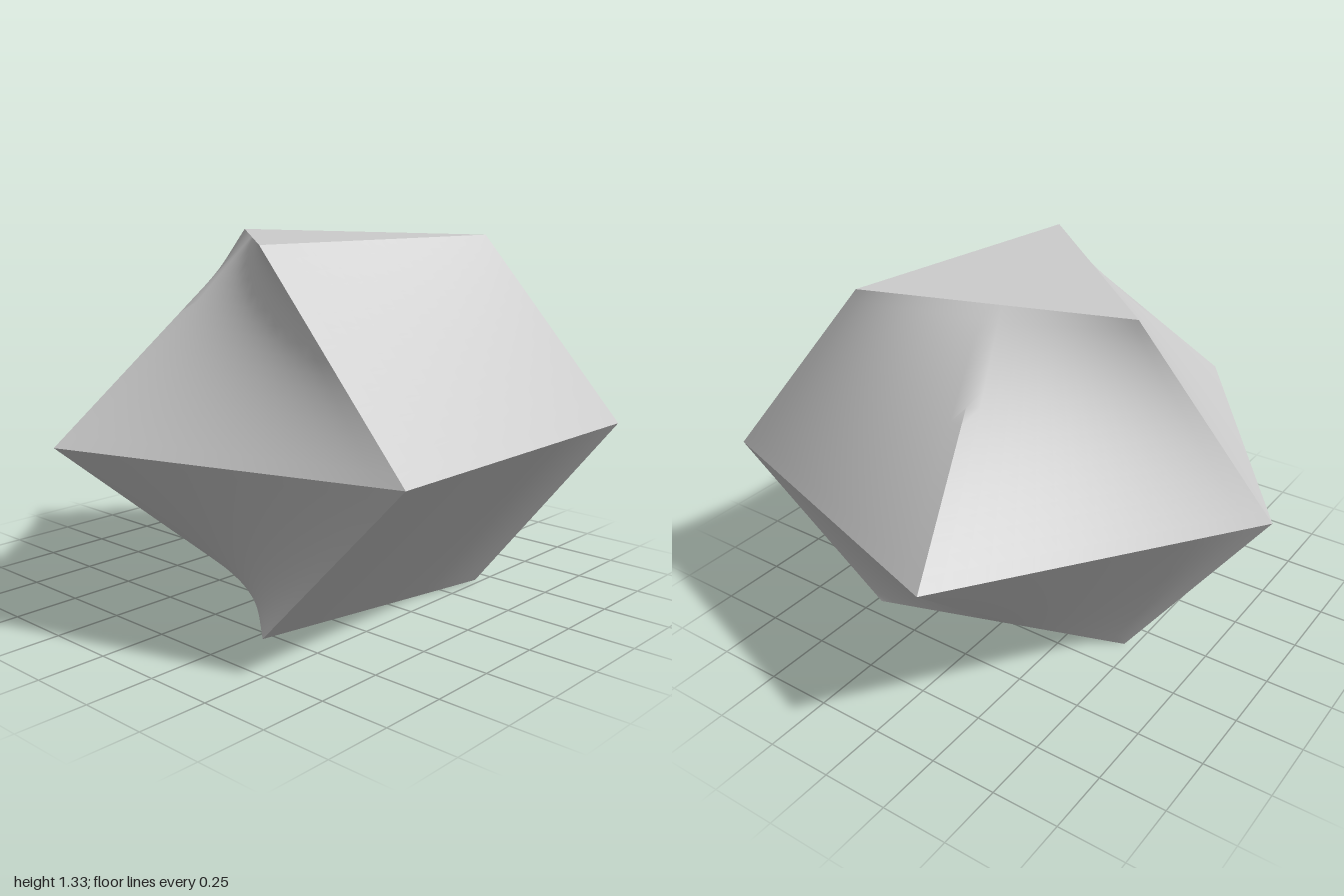
import * as THREE from 'three';
import { toCreasedNormals } from 'three/addons/utils/BufferGeometryUtils.js';

const MID = 0.667, TOP = 1.333, CENTRE_Z = 0.1, STEPS = 16;

// Corners of a regular polygon, starting at the back and turning towards +x
function polygon(sides, radius, turn, y) {
  return Array.from({ length: sides }, (_, i) => {
    const a = turn + (i / sides) * Math.PI * 2;
    return new THREE.Vector3(Math.sin(a) * radius, y, CENTRE_Z - Math.cos(a) * radius);
  });
}

// Ruled surface between two closed rings with the same number of points
function loft(outer, inner, flip) {
  const positions = [], index = [], n = outer.length, row = STEPS + 1;
  for (let s = 0; s < n; s++) {
    const base = s * row * row, e = (s + 1) % n;
    for (let i = 0; i <= STEPS; i++) {
      const a = outer[s].clone().lerp(outer[e], i / STEPS);
      const b = inner[s].clone().lerp(inner[e], i / STEPS);
      for (let j = 0; j <= STEPS; j++) positions.push(...a.clone().lerp(b, j / STEPS).toArray());
    }
    for (let i = 0; i < STEPS; i++) {
      for (let j = 0; j < STEPS; j++) {
        const p = base + i * row + j, q = p + row;
        if (flip) index.push(p, q, p + 1, q, q + 1, p + 1);
        else index.push(q, p, p + 1, q, p + 1, q + 1);
      }
    }
  }
  const geometry = new THREE.BufferGeometry();
  geometry.setAttribute('position', new THREE.Float32BufferAttribute(positions, 3));
  geometry.setIndex(index);
  return toCreasedNormals(geometry, Math.PI / 6);
}

// Flat triangular end
function cap(corners, flip) {
  const ordered = flip ? corners : [...corners].reverse();
  const geometry = new THREE.BufferGeometry().setFromPoints(ordered);
  geometry.computeVertexNormals();
  return geometry;
}

export function createModel() {
  const group = new THREE.Group();
  const material = new THREE.MeshStandardMaterial({ color: 0xcccccc });
  const add = (name, geometry) => {
    const mesh = new THREE.Mesh(geometry, material);
    mesh.name = name;
    group.add(mesh);
  };

  // Pentagonal waist lofted to a twisted triangle above and below
  const waist = polygon(5, 1.0515, 0, MID);
  for (const [side, y, flip] of [['upper', TOP, false], ['lower', 0, true]]) {
    const triangle = polygon(3, 0.573, THREE.MathUtils.degToRad(11.2), y);
    const [back, right, left] = triangle;
    // The two side corners of the waist run to the middles of triangle edges
    const ring = [
      back, back.clone().lerp(right, 0.5), right,
      left, left.clone().lerp(back, 0.5),
    ];
    add(side + 'Flanks', loft(waist, ring, flip));
    add(side + 'Triangle', cap(triangle, flip));
  }
  return group;
}
